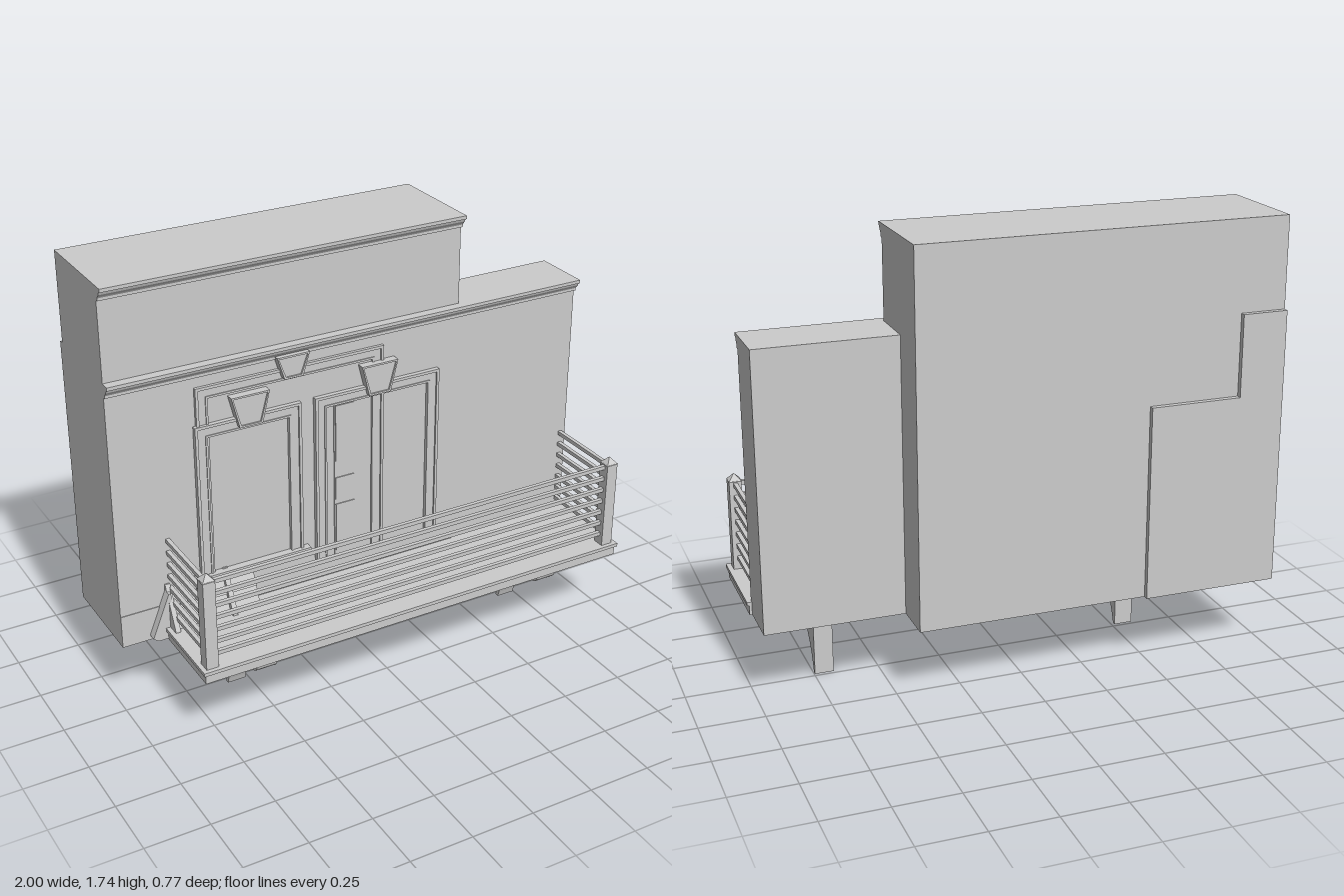
import * as THREE from 'three';

const WALL_Z = 0.014; // plane of the facade

export function createModel() {
  const root = new THREE.Group();
  root.name = 'balconyFacade';
  const mat = new THREE.MeshStandardMaterial({ color: 0xcccccc, flatShading: true });

  const add = (name, geometry, parent = root) => {
    const mesh = new THREE.Mesh(geometry, mat);
    mesh.name = name;
    parent.add(mesh);
    return mesh;
  };
  // Box given by its limits on each axis
  const box = (name, x0, x1, y0, y1, z0, z1, parent) => {
    const mesh = add(name, new THREE.BoxGeometry(x1 - x0, y1 - y0, z1 - z0), parent);
    mesh.position.set((x0 + x1) / 2, (y0 + y1) / 2, (z0 + z1) / 2);
    return mesh;
  };
  const shapeOf = (pts) => new THREE.Shape(pts.map(([a, b]) => new THREE.Vector2(a, b)));
  // Extrude a (z, y) profile along x from x0 to x1
  const alongX = (name, shape, x0, x1, parent) => {
    const g = new THREE.ExtrudeGeometry(shape, { depth: x1 - x0, bevelEnabled: false, curveSegments: 14 });
    g.rotateY(-Math.PI / 2);
    g.scale(1, 1, 1);
    g.translate(x1, 0, 0);
    return add(name, g, parent);
  };
  // Extrude an (x, y) shape forward from z0 to z1
  const alongZ = (name, shape, z0, z1, parent) => {
    const g = new THREE.ExtrudeGeometry(shape, { depth: z1 - z0, bevelEnabled: false });
    g.translate(0, 0, z0);
    return add(name, g, parent);
  };

  // Wall blocks
  box('mainWall', -1, 0.44, 0.295, 1.735, -0.365, WALL_Z);
  box('sideWall', 0.44, 0.98, 0.295, 1.375, -0.19, WALL_Z);
  box('basePlinth', -1, 0.44, 0.295, 0.427, -0.1, WALL_Z + 0.003);

  // Stepped panel on the back
  alongZ('backPanel', shapeOf([
    [-1, 0.295], [-0.46, 0.295], [-0.46, 1.06], [-0.82, 1.06], [-0.82, 1.38], [-1, 1.38],
  ]), -0.386, -0.36);

  // Moulded cornices
  const cornice = (name, x0, x1, top) => alongX(name, shapeOf([
    [0, 0], [0.052, 0], [0.052, -0.013], [0.043, -0.016], [0.039, -0.026],
    [0.03, -0.036], [0.026, -0.042], [0.026, -0.052], [0, -0.056],
  ].map(([z, y]) => [z, top + y])), x0, x1);
  cornice('upperCornice', -1, 0.44, 1.735);
  cornice('lowerCornice', -1, 0.98, 1.375);

  // Door and window surrounds: a flat band with a raised outer bead
  const surround = (name, x0, x1, y0, top, width, z) => {
    const group = new THREE.Group();
    group.name = name;
    root.add(group);
    const arch = (inset, w) => {
      const a = x0 + inset, b = x1 - inset, t = top - inset;
      return shapeOf([
        [a, y0], [a + w, y0], [a + w, t - w], [b - w, t - w], [b - w, y0], [b, y0], [b, t], [a, t],
      ]);
    };
    alongZ('band', arch(0, width), 0, z, group);
    alongZ('outerBead', arch(0, 0.011), 0, z + 0.007, group);
    alongZ('innerBead', arch(width - 0.008, 0.008), 0, z + 0.004, group);
  };
  surround('backSurround', -0.665, 0.107, 0.427, 1.28, 0.048, 0.02);
  surround('windowSurround', -0.675, -0.246, 0.51, 1.13, 0.05, 0.026);
  surround('doorSurround', -0.188, 0.35, 0.427, 1.13, 0.048, 0.026);
  box('windowSill', -0.705, -0.22, 0.493, 0.512, 0, 0.045);

  // Keystones with a raised rim
  const keystone = (name, cx, y0, y1, halfTop, halfBottom) => {
    const group = new THREE.Group();
    group.name = name;
    root.add(group);
    const outline = (e) => [
      [cx - halfBottom + e, y0 + e], [cx + halfBottom - e, y0 + e],
      [cx + halfTop - e, y1 - e], [cx - halfTop + e, y1 - e],
    ];
    alongZ('block', shapeOf(outline(0)), 0, 0.04, group);
    const rim = shapeOf(outline(0));
    rim.holes.push(shapeOf(outline(0.007)));
    alongZ('rim', rim, 0.03, 0.047, group);
  };
  keystone('topKeystone', -0.282, 1.245, 1.335, 0.066, 0.038);
  keystone('windowKeystone', -0.458, 1.095, 1.22, 0.077, 0.046);
  keystone('doorKeystone', 0.08, 1.095, 1.22, 0.077, 0.046);

  // Narrow door leaf with panels
  box('doorLeaf', -0.103, -0.013, 0.427, 1.085, 0, 0.018);
  [[0.45, 0.655], [0.675, 0.77], [0.84, 1.075]].forEach(([y0, y1]) =>
    box('doorPanel', -0.098, -0.018, y0, y1, 0, 0.022));

  // Balcony floor
  box('balconySlab', -0.83, 0.99, 0.295, 0.336, 0, 0.377);
  box('balconyLip', -0.838, 0.998, 0.333, 0.347, 0, 0.386);

  // Corner posts with pyramid caps, and side rails
  const RAILS = 7;
  const postX = [-0.797, 0.955], postZ = 0.345;
  const railY = (i) => 0.394 + i * 0.0503;
  for (const x of postX) {
    box('railingPost', x - 0.024, x + 0.024, 0.34, 0.71, postZ - 0.024, postZ + 0.024);
    const cap = add('postCap', new THREE.ConeGeometry(0.036, 0.028, 4).rotateY(Math.PI / 4));
    cap.position.set(x, 0.722, postZ);
    for (let i = 0; i < RAILS; i++)
      box('sideRail', x - 0.008, x + 0.008, railY(i) - 0.008, railY(i) + 0.008, 0, postZ);
  }
  for (let i = 0; i < RAILS; i++)
    box('frontRail', postX[0], postX[1], railY(i) - 0.008, railY(i) + 0.008, postZ - 0.008, postZ + 0.008);

  // Sloping panel at the foot of the window, with ribs and a cross bar
  alongX('slopingPanel', shapeOf([[0, 0.34], [0.082, 0.34], [0.014, 0.495], [0, 0.495]]), -0.82, -0.46);
  for (const x of [-0.81, -0.69, -0.575])
    alongX('panelRib', shapeOf([[0, 0.34], [0.1, 0.34], [0.1, 0.352], [0.02, 0.515], [0, 0.515]]), x - 0.01, x + 0.01);
  alongX('panelCrossBar', shapeOf([[0.03, 0.42], [0.054, 0.42], [0.049, 0.432], [0.03, 0.432]]), -0.82, -0.46);
  alongZ('slopingEnd', shapeOf([[-0.89, 0.315], [-0.87, 0.3], [-0.81, 0.3], [-0.81, 0.49], [-0.82, 0.49]]), 0, 0.05);

  // Scrolled brackets
  const profile = new THREE.Shape();
  profile.moveTo(WALL_Z, 0);
  profile.lineTo(0.03, 0);
  profile.bezierCurveTo(0.06, 0.11, 0.14, 0.2, 0.272, 0.211);
  profile.lineTo(0.3, 0.245);
  profile.lineTo(0.29, 0.285);
  profile.lineTo(WALL_Z, 0.285);
  for (const x of [-0.55, 0.71]) {
    const bracket = new THREE.Group();
    bracket.name = 'bracket';
    bracket.position.x = x;
    root.add(bracket);
    alongX('bracketBody', profile, -0.037, 0.037, bracket);
    box('bracketPlate', -0.053, 0.053, 0.28, 0.297, WALL_Z, 0.318, bracket);
    [[0.031, 0.084], [0.022, 0.098], [0.011, 0.108]].forEach(([r, w]) => {
      const scroll = add('scroll', new THREE.CylinderGeometry(r, r, w, 20).rotateZ(Math.PI / 2), bracket);
      scroll.position.set(0, 0.243, 0.273);
    });
  }

  // Profiles were extruded towards -x with z kept as the first axis
  return root;
}
